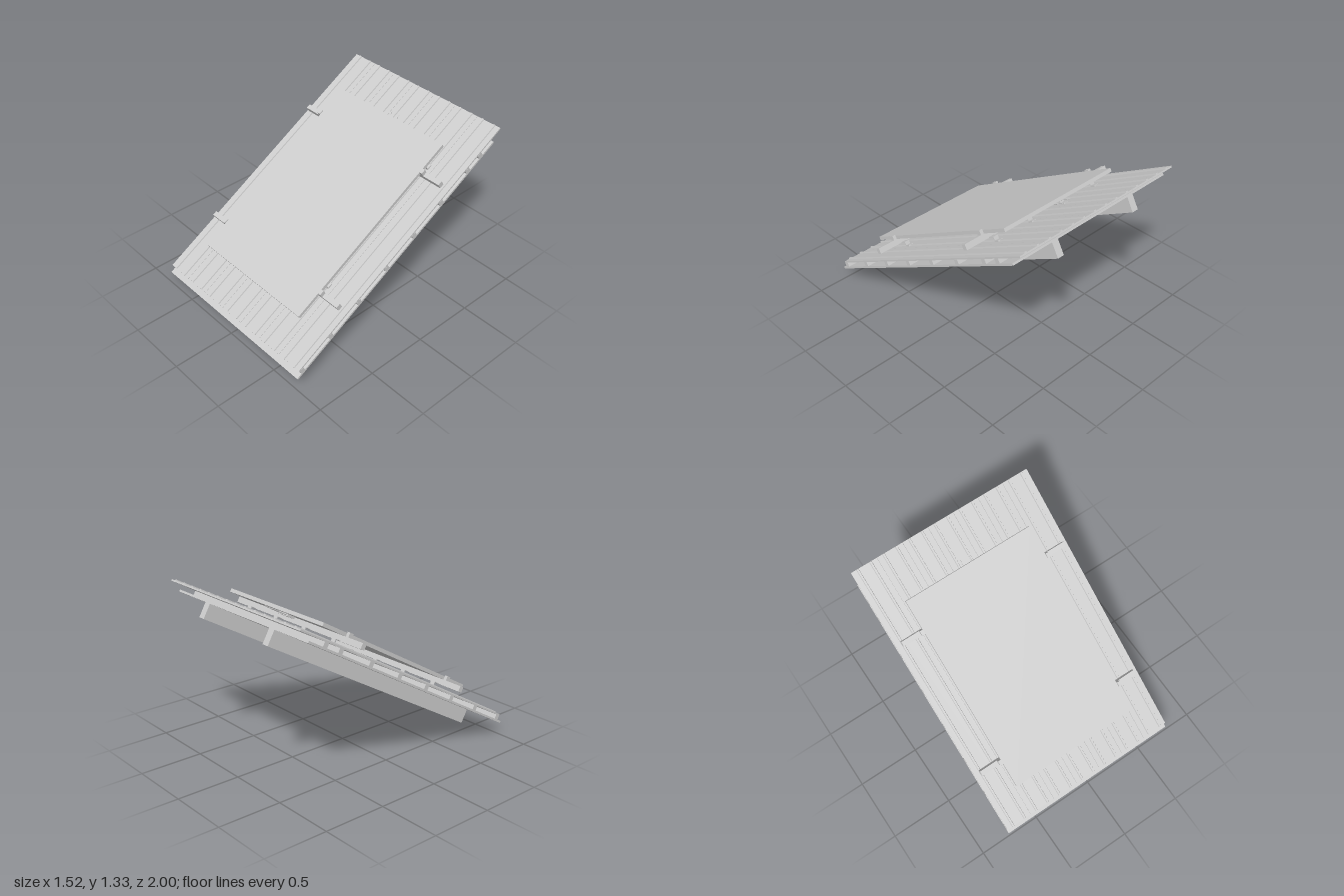
import * as THREE from 'three';

const material = new THREE.MeshStandardMaterial({ color: 0xcccccc, flatShading: true });

// Slope frame: x across the roof, n off the deck, s up the slope from the eave.
function slab(parent, name, [x0, x1], [n0, n1], [s0, s1]) {
  const mesh = new THREE.Mesh(new THREE.BoxGeometry(x1 - x0, n1 - n0, s1 - s0), material);
  mesh.position.set((x0 + x1) / 2, (n0 + n1) / 2, -(s0 + s1) / 2);
  mesh.name = name;
  parent.add(mesh);
  return mesh;
}

// One roofing sheet with two raised ribs, extruded up the slope
function sheetGeometry(width, length) {
  const low = 0.035, pan = 0.047, top = 0.056;
  const half = width / 2 - 0.001;
  const shape = new THREE.Shape();
  shape.moveTo(-half, low);
  shape.lineTo(half, low);
  shape.lineTo(half, pan);
  for (const c of [width / 4, -width / 4]) {
    shape.lineTo(c + 0.01, pan);
    shape.lineTo(c + 0.007, top);
    shape.lineTo(c - 0.007, top);
    shape.lineTo(c - 0.01, pan);
  }
  shape.lineTo(-half, pan);
  return new THREE.ExtrudeGeometry(shape, { depth: length, bevelEnabled: false });
}

// Clamp rail with end clamps and stepped feet
function mountingRail(s) {
  const rail = new THREE.Group();
  rail.name = 'mountingRail';
  slab(rail, 'rail', [-0.715, 0.715], [0.082, 0.126], [s, s + 0.038]);
  for (const side of [-1, 1]) {
    const x = side * 0.552;
    slab(rail, 'endClamp', [x - 0.013, x + 0.013], [0.126, 0.162], [s, s + 0.038]);
  }
  for (const x of [-0.49, -0.163, 0.163, 0.49]) {
    const span = [x - 0.02, x + 0.02];
    slab(rail, 'footTop', span, [0.082, 0.087], [s + 0.03, s + 0.088]);
    slab(rail, 'footRiser', span, [0.047, 0.087], [s + 0.083, s + 0.088]);
    slab(rail, 'footBase', span, [0.047, 0.058], [s + 0.083, s + 0.125]);
  }
  return rail;
}

export function createModel() {
  const model = new THREE.Group();
  model.name = 'roofSectionWithPanel';
  const slope = new THREE.Group();
  slope.name = 'slopedRoof';
  slope.rotation.x = Math.PI / 6;
  slope.position.set(0, 0.115, 1);
  model.add(slope);

  // Timber structure
  for (const x of [-0.382, 0.378]) {
    slab(slope, 'rafter', [x - 0.028, x + 0.028], [-0.133, -0.016], [0, 2.23]);
  }
  slab(slope, 'deck', [-0.76, 0.76], [-0.016, 0], [0, 2.23]);
  for (let i = 0; i < 8; i++) {
    const s = i < 7 ? 0.047 + i * 0.311 : 2.06;
    slab(slope, 'batten', [-0.76, 0.76], [0, 0.035], [s, s + 0.04]);
  }

  // Ribbed roofing sheets
  const count = 7, width = 1.52 / count;
  const geometry = sheetGeometry(width, 2.283);
  for (let i = 0; i < count; i++) {
    const sheet = new THREE.Mesh(geometry, material);
    sheet.name = 'roofSheet';
    sheet.position.set(-0.76 + (i + 0.5) * width, 0, -2.33);
    slope.add(sheet);
  }

  // Solar panel on two rails
  slope.add(mountingRail(0.548), mountingRail(1.692));
  slab(slope, 'solarPanel', [-0.539, 0.537], [0.126, 0.153], [0.335, 1.966]);

  // Junction box and its two leads
  slab(slope, 'junctionBox', [-0.06, 0.06], [0.108, 0.126], [1.8, 1.87]);
  for (const x of [-0.04, 0.035]) {
    const lead = new THREE.Mesh(new THREE.CylinderGeometry(0.004, 0.004, 0.155, 8), material);
    lead.name = 'lead';
    lead.rotation.x = Math.PI / 2;
    lead.position.set(x, 0.117, -1.9375);
    slope.add(lead);
  }
  return model;
}
